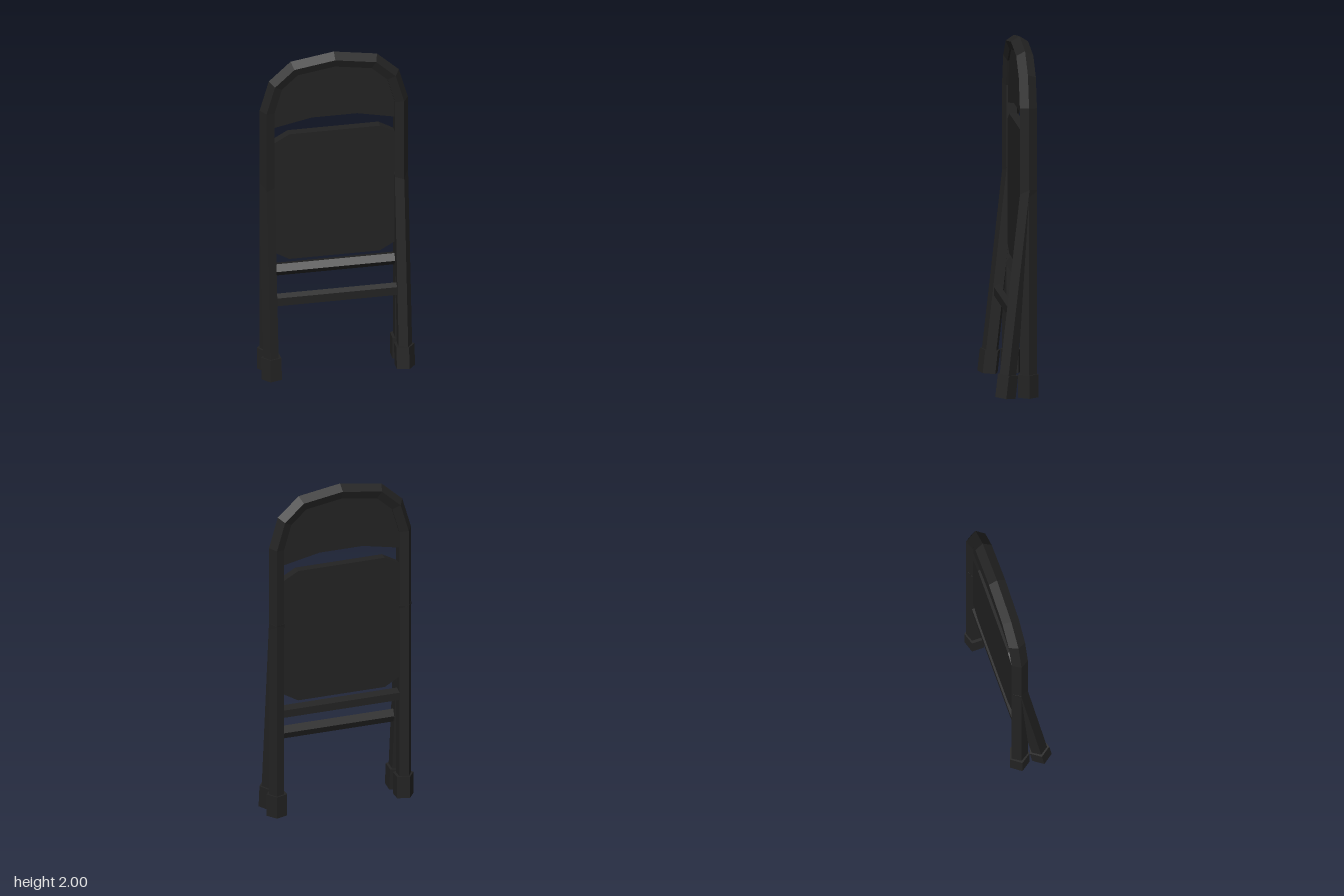
import * as THREE from 'three';

const SIDES = 5;       // every tube has a five-sided section
const FRAME_Z = -0.065;
const LEG_X = 0.381;

// Upper half of the frame's centre line, from the shoulder to the crown
const ARCH = [[LEG_X, 1.66], [0.334, 1.823], [0.228, 1.92], [0, 1.956]];

// Sweep a five-sided section along a flat path, one vertex pointing outward
function sweep(path, rx, rz) {
  const pts = path.map(([x, y]) => new THREE.Vector2(x, y));
  const normal = (a, b) => new THREE.Vector2(b.y - a.y, a.x - b.x).normalize();
  const pos = [], index = [];
  pts.forEach((p, i) => {
    const n0 = normal(pts[Math.max(i - 1, 0)], pts[Math.max(i, 1)]);
    const last = pts.length - 1;
    const n1 = normal(pts[Math.min(i, last - 1)], pts[Math.min(i + 1, last)]);
    const miter = n0.clone().add(n1).normalize();
    miter.divideScalar(miter.dot(n0));
    for (let k = 0; k < SIDES; k++) {
      const a = (k / SIDES) * Math.PI * 2;
      const r = rx * Math.cos(a);
      pos.push(p.x + miter.x * r, p.y + miter.y * r, rz * Math.sin(a));
      if (i < last) {
        const a0 = i * SIDES + k, a1 = i * SIDES + (k + 1) % SIDES;
        index.push(a0, a0 + SIDES, a1, a1, a0 + SIDES, a1 + SIDES);
      }
    }
  });
  const g = new THREE.BufferGeometry();
  g.setAttribute('position', new THREE.Float32BufferAttribute(pos, 3));
  g.setIndex(index);
  g.computeVertexNormals();
  return g;
}

// Straight upright five-sided bar with a vertex on the given side
function post(rx, rz, y0, y1, side) {
  const g = new THREE.CylinderGeometry(1, 1, y1 - y0, SIDES, 1, false, side * Math.PI / 2);
  return g.scale(rx, 1, rz).translate(0, (y0 + y1) / 2, 0);
}

// Flat panel centred on its own depth
function panel(points, depth) {
  const shape = new THREE.Shape(points.map(([x, y]) => new THREE.Vector2(x, y)));
  return new THREE.ExtrudeGeometry(shape, { depth, bevelEnabled: false }).translate(0, 0, -depth / 2);
}

// Add the left-right mirror image of a half outline
const mirrored = (half) => [...half, ...half.map(([x, y]) => [-x, y]).reverse()];

export function createModel() {
  const model = new THREE.Group();
  const black = new THREE.MeshStandardMaterial({ color: 0x222222, flatShading: true });
  black.name = 'black';

  function add(name, geometry, x = 0, y = 0, z = 0, parent = model) {
    const mesh = new THREE.Mesh(geometry, black);
    mesh.name = name;
    mesh.position.set(x, y, z);
    parent.add(mesh);
    return mesh;
  }

  // Arched main frame
  const half = [[LEG_X, 0.05], ...ARCH.slice(0, 3)];
  const path = [...half, [0, 1.956], ...half.map(([x, y]) => [-x, y]).reverse()];
  add('mainFrame', sweep(path, 0.044, 0.051), 0, 0, FRAME_Z);

  // Backrest fills the arch, its lower edge rising to the middle
  const back = mirrored([[0.13, 1.6], [0.36, 1.552], ...ARCH.slice(0, 3)]);
  add('backrest', panel(back, 0.04), 0, 0, FRAME_Z);

  // Folded seat with clipped corners
  const seat = mirrored([[0.26, 0.705], [0.345, 0.755], [0.36, 0.764],
    [0.36, 1.452], [0.345, 1.46], [0.26, 1.508]]);
  add('seat', panel(seat, 0.05), 0, 0, FRAME_Z);

  // Slanted front legs and the rubber feet
  for (const side of [1, -1]) {
    const name = side > 0 ? 'left' : 'right';
    add(name + 'BackFoot', post(0.061, 0.061, 0.006, 0.138, side), side * 0.379, 0, FRAME_Z);
    const leg = new THREE.Group();
    leg.name = name + 'FrontLegAssembly';
    leg.position.set(side * LEG_X, 0.007, 0.066);
    leg.rotation.x = -Math.atan(0.112);
    add(name + 'FrontLeg', post(0.0455, 0.049, 0.04, 1.2, side), 0, 0, 0, leg);
    add(name + 'FrontFoot', post(0.061, 0.061, 0, 0.132, side), -side * 0.002, 0, 0, leg);
    model.add(leg);
  }

  // Cross bars: the upper one on the frame, the lower one on the front legs
  function crossBar(name, y, z, ry, rz, start) {
    const g = new THREE.CylinderGeometry(1, 1, 0.72, SIDES, 1, false, start);
    add(name, g.rotateZ(Math.PI / 2).scale(1, ry, rz), 0, y, z);
  }
  crossBar('frameCrossBar', 0.635, FRAME_Z, 0.038, 0.038, 0);
  crossBar('legCrossBar', 0.475, 0.0135, 0.042, 0.027, Math.PI);

  return model;
}
